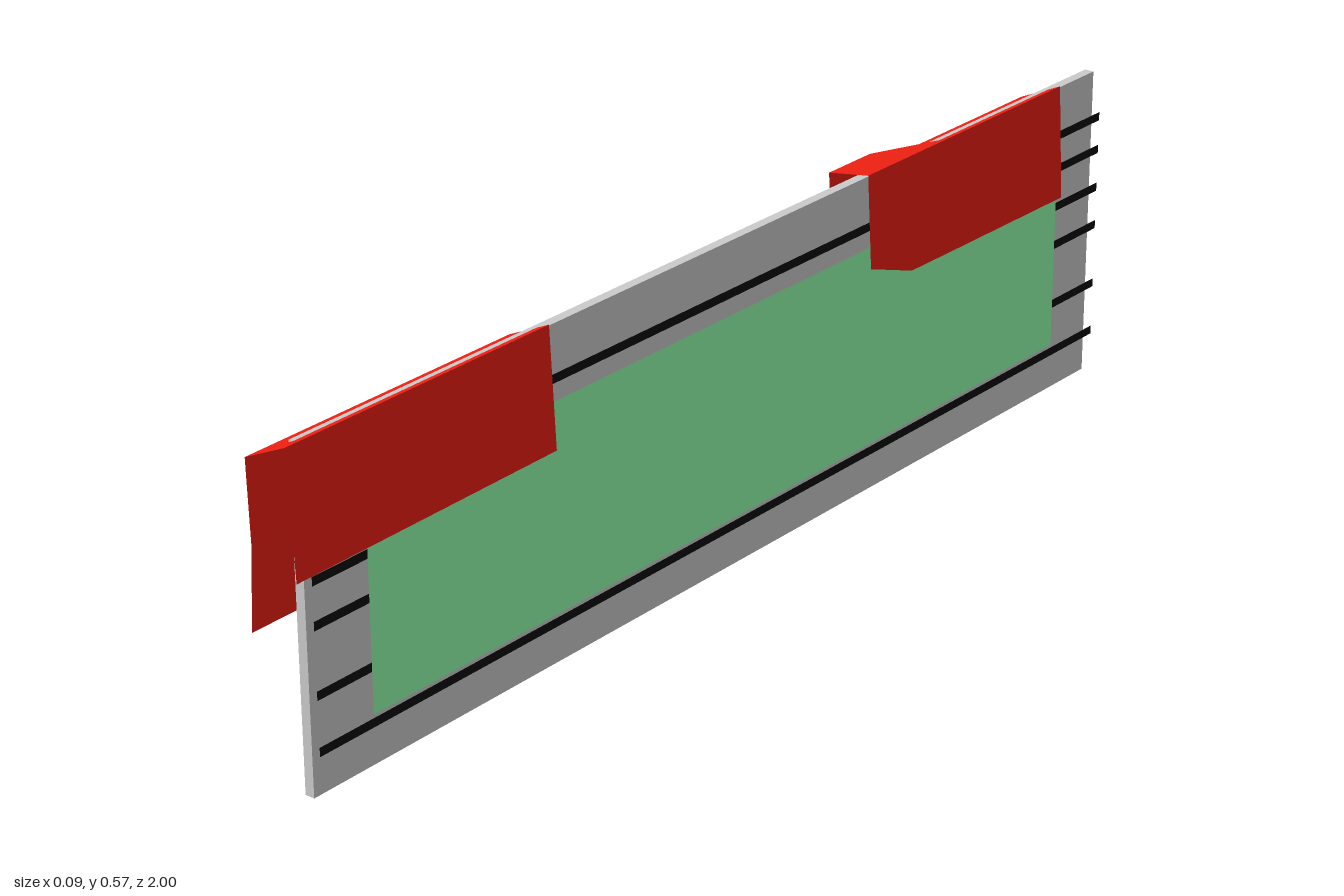
import * as THREE from 'three';

const mat = (color, extra = {}) => new THREE.MeshStandardMaterial({ color, ...extra });

// Thin sheet lofted through cross-sections that run along z.
// Each section is { z, pts: [[x, y], ...] } with equal point counts.
function sheet(sections) {
  const pos = [];
  for (let i = 0; i < sections.length - 1; i++) {
    const a = sections[i], b = sections[i + 1];
    for (let j = 0; j < a.pts.length - 1; j++) {
      const p = [...a.pts[j], a.z], q = [...a.pts[j + 1], a.z];
      const r = [...b.pts[j + 1], b.z], s = [...b.pts[j], b.z];
      pos.push(...p, ...r, ...q, ...p, ...s, ...r);
    }
  }
  const g = new THREE.BufferGeometry();
  g.setAttribute('position', new THREE.Float32BufferAttribute(pos, 3));
  g.computeVertexNormals();
  return g;
}

// Cloth profile: back flap with a slight fold, sloping top, short front flap
function clothSection(z, backTop, frontHem) {
  return {
    z,
    pts: [
      [-0.047, 0.26], [-0.039, 0.4], [-0.043, backTop],
      [0.035, 0.569], [0.046 - (frontHem - 0.365) * 0.053, frontHem],
    ],
  };
}

export function createModel() {
  const group = new THREE.Group();
  const add = (name, geometry, material) => {
    const mesh = new THREE.Mesh(geometry, material);
    mesh.name = name;
    group.add(mesh);
    return mesh;
  };

  // Upright board
  const board = add('board', new THREE.BoxGeometry(0.017, 0.558, 1.96), mat(0xcccccc));
  board.position.set(0.0115, 0.279, -0.02);

  // Dark horizontal stripes floating just off the board face
  const black = mat(0x080808, { side: THREE.DoubleSide });
  [0.08, 0.17, 0.28, 0.35, 0.42, 0.48].forEach((y, i) => {
    const stripe = add(`stripe${i + 1}`, new THREE.PlaneGeometry(1.96, 0.015), black);
    stripe.rotation.y = Math.PI / 2;
    stripe.position.set(0.0355, y, -0.02);
  });

  // Green panel in front of the stripes
  const panel = add('panel', new THREE.PlaneGeometry(1.72, 0.35),
    mat(0x92ffae, { side: THREE.DoubleSide }));
  panel.rotation.y = Math.PI / 2;
  panel.position.set(0.038, 0.27, -0.01);

  // Red cloths draped over both ends of the top edge
  const red = mat(0xec1f12, { side: THREE.DoubleSide, flatShading: true });
  add('frontCloth', sheet([
    clothSection(1, 0.533, 0.365),
    clothSection(0.45, 0.533, 0.37),
  ]), red);
  add('backCloth', sheet([
    clothSection(-0.33, 0.556, 0.41),
    clothSection(-0.44, 0.556, 0.373),
    clothSection(-0.55, 0.533, 0.372),
    clothSection(-0.875, 0.533, 0.37),
  ]), red);

  return group;
}
